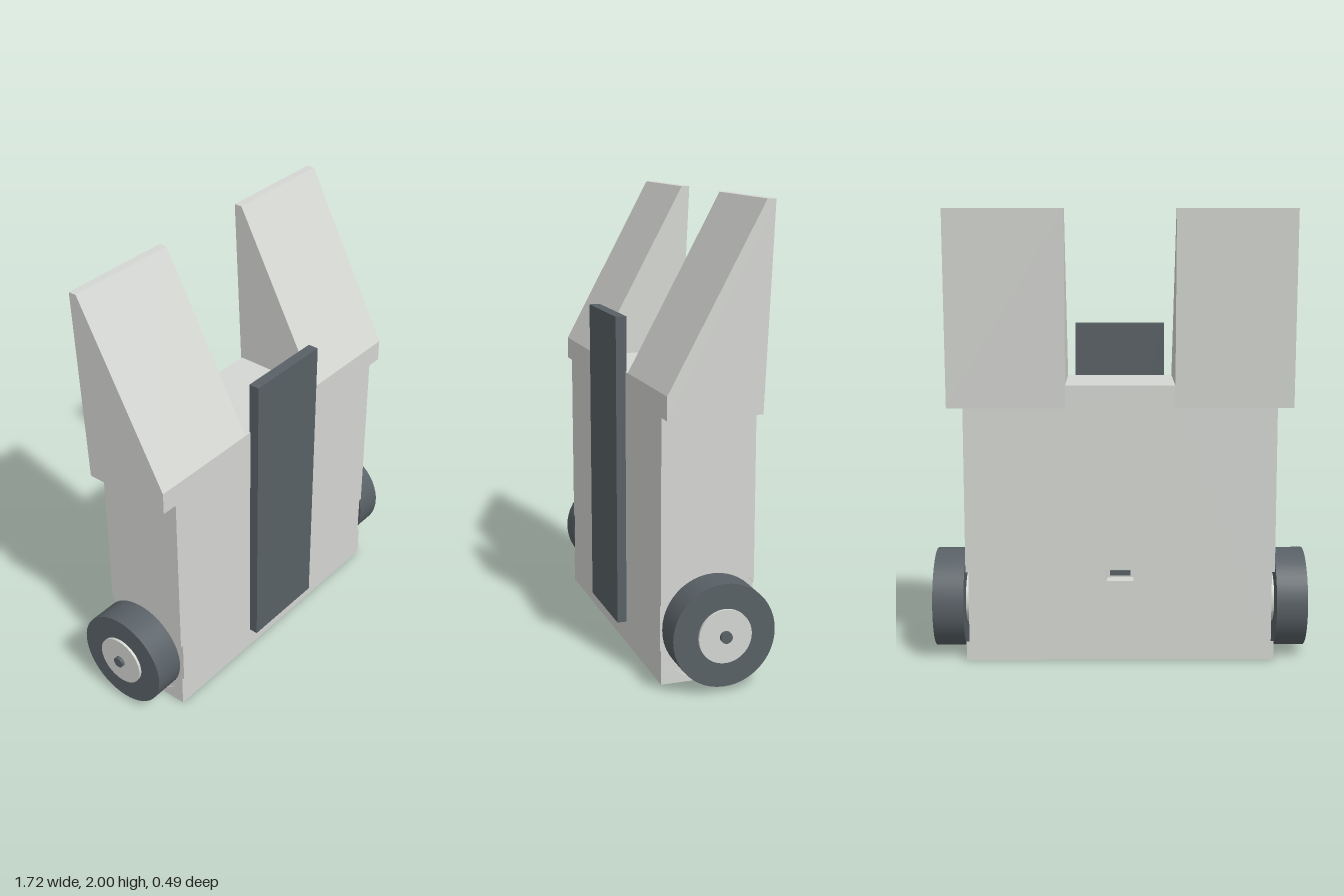
import * as THREE from 'three';

const FRONT = 0.204, BACK = -0.206;          // body faces in z
const HALF = 0.688, INNER = 0.675;           // body side and wheel recess floor in x
const SHOULDER = 1.14, TOP = 1.24;
const WHEEL = { y: 0.245, z: -0.02, radius: 0.222, recess: 0.245 };

export function createModel() {
  const shell = new THREE.MeshStandardMaterial({ name: 'pale grey shell', color: 0xd5d7d3 });
  const dark = new THREE.MeshStandardMaterial({ name: 'slate grey', color: 0x596166 });
  const model = new THREE.Group();
  model.name = 'model';

  const add = (name, geometry, material, x = 0, y = 0, z = 0) => {
    const mesh = new THREE.Mesh(geometry, material);
    mesh.name = name;
    mesh.position.set(x, y, z);
    model.add(mesh);
    return mesh;
  };
  const outline = (points) => new THREE.Shape(points.map(([x, y]) => new THREE.Vector2(x, y)));
  const extrude = (shape, depth) =>
    new THREE.ExtrudeGeometry(shape, { depth, bevelEnabled: false, curveSegments: 40 });
  // Extrudes a (z, y) profile sideways from x0 to x0 + width
  const extrudeX = (shape, x0, width) =>
    extrude(shape, width).rotateY(-Math.PI / 2).translate(x0 + width, 0, 0);

  // Body core, with a thin back layer holding the port opening
  const bodyShape = () => outline([
    [-INNER, 0], [INNER, 0], [INNER, SHOULDER], [0.24, SHOULDER],
    [0.24, TOP], [-0.24, TOP], [-0.24, SHOULDER], [-INNER, SHOULDER],
  ]);
  const layer = 0.06, portY = 0.39;
  add('body', extrude(bodyShape(), FRONT - BACK - layer), shell, 0, 0, BACK + layer);
  const backShape = bodyShape();
  backShape.holes.push(new THREE.Path([[-0.06, -0.025], [-0.06, 0.025], [0.06, 0.025], [0.06, -0.025]]
    .map(([x, y]) => new THREE.Vector2(x, portY + y))));
  add('backPanel', extrude(backShape, layer), shell, 0, 0, BACK);
  add('portTongue', new THREE.BoxGeometry(0.09, 0.02, 0.045), dark, 0, portY + 0.006, BACK + 0.036);

  // Front panel
  add('frontPanel', new THREE.BoxGeometry(0.41, 1.38, 0.048), dark, 0, 0.79, 0.222);

  // Side skins, cut away around the wheel
  const { y: cy, z: cz, recess: R } = WHEEL;
  const aF = Math.acos((FRONT - cz) / R), aB = Math.acos((BACK - cz) / R);
  const upper = outline([[FRONT, SHOULDER], [BACK, SHOULDER], [BACK, cy + R * Math.sin(aB)]]);
  upper.absarc(cz, cy, R, aB, aF, true);
  const lowerFront = outline([[FRONT, 0], [FRONT, cy - R * Math.sin(aF)]]);
  lowerFront.absarc(cz, cy, R, -aF, -Math.PI / 2, true);
  const lowerBack = outline([[BACK, 0], [cz, 0]]);
  lowerBack.absarc(cz, cy, R, -Math.PI / 2, -aB, true);

  // Wedge-shaped upright with a slanted front
  const ear = outline([[FRONT, SHOULDER], [FRONT, TOP], [-0.208, 2], [-0.245, 2], [BACK, SHOULDER]]);

  for (const [side, s] of [['left', 1], ['right', -1]]) {
    const skinX = s > 0 ? INNER : -HALF;
    [['Upper', upper], ['LowerFront', lowerFront], ['LowerBack', lowerBack]].forEach(([part, shape]) =>
      add(`${side}Skin${part}`, extrudeX(shape, skinX, HALF - INNER), shell));
    add(`${side}Upright`, extrudeX(ear, s > 0 ? 0.24 : -0.76, 0.52), shell);

    // Wheel: tyre, hub and axle
    const disc = (name, radius, x0, x1, material) =>
      add(name, new THREE.CylinderGeometry(radius, radius, x1 - x0, 48).rotateZ(Math.PI / 2),
        material, s * (x0 + x1) / 2, cy, cz);
    disc(`${side}Tyre`, WHEEL.radius, 0.696, 0.834, dark);
    disc(`${side}Hub`, 0.115, 0.67, 0.846, shell);
    disc(`${side}Axle`, 0.025, 0.66, 0.862, dark);
  }
  return model;
}
